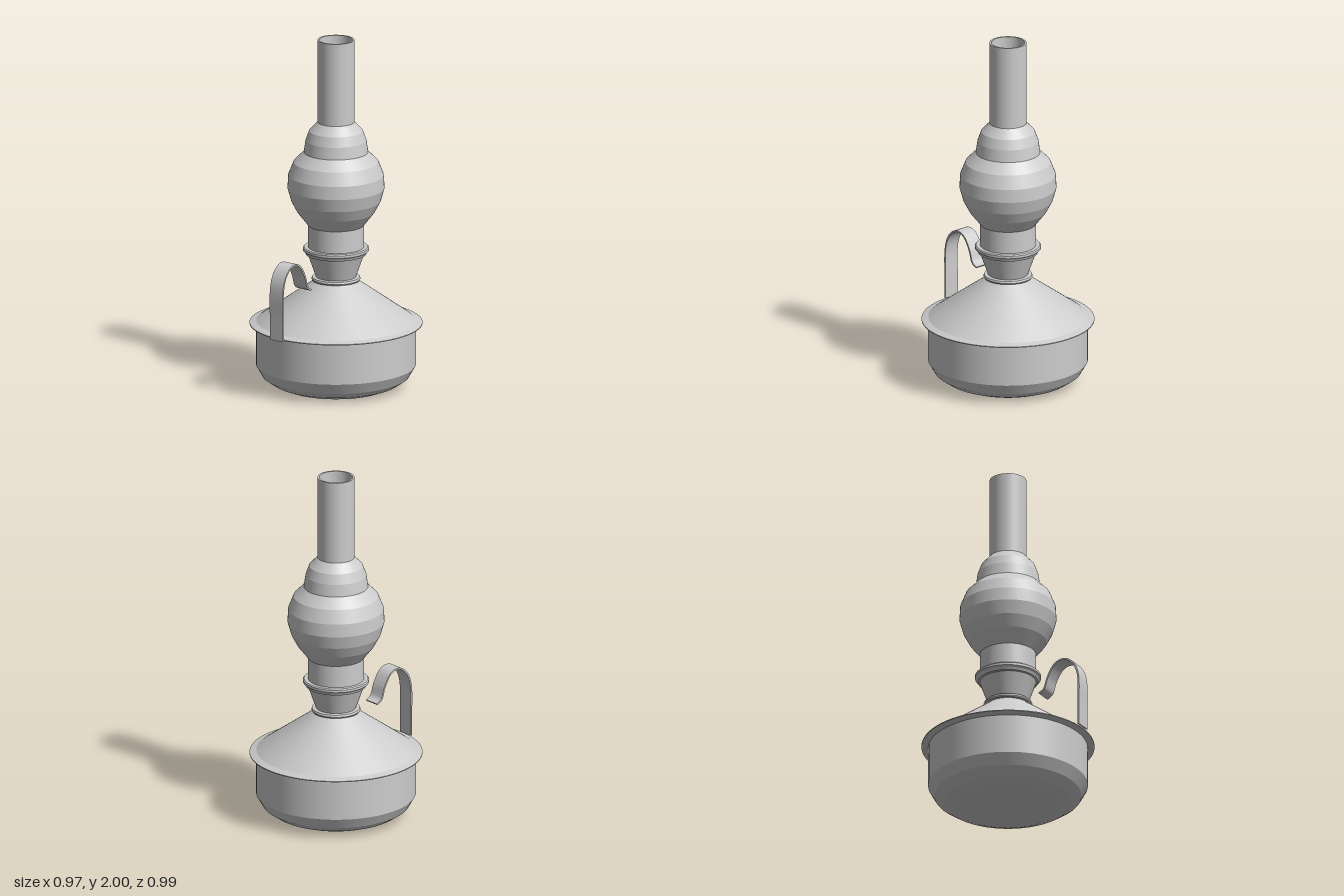
import * as THREE from 'three';
import { mergeGeometries } from 'three/addons/utils/BufferGeometryUtils.js';

const metal = new THREE.MeshStandardMaterial({ color: 0xcccccc, side: THREE.DoubleSide });
metal.name = 'pale grey metal';

// Lathe with a sharp edge at every profile point, smooth around the axis
function turned(name, profile) {
  const bands = [];
  for (let i = 0; i < profile.length - 1; i++) {
    const pair = [profile[i], profile[i + 1]].map(([r, y]) => new THREE.Vector2(r, y));
    bands.push(new THREE.LatheGeometry(pair, 72));
  }
  const mesh = new THREE.Mesh(mergeGeometries(bands), metal);
  mesh.name = name;
  return mesh;
}

// Bent flat strip: the centre line is [z, y], thickened and extruded across x
function strip(name, path, thickness, x0, x1) {
  const curve = new THREE.SplineCurve(path.map(([z, y]) => new THREE.Vector2(z, y)));
  const n = 56, outer = [], inner = [];
  for (let i = 0; i <= n; i++) {
    const p = curve.getPoint(i / n), t = curve.getTangent(i / n);
    const side = new THREE.Vector2(-t.y, t.x).multiplyScalar(thickness / 2);
    outer.push(p.clone().add(side));
    inner.unshift(p.clone().sub(side));
  }
  const geometry = new THREE.ExtrudeGeometry(new THREE.Shape([...outer, ...inner]),
    { depth: x1 - x0, bevelEnabled: false });
  geometry.rotateY(-Math.PI / 2).translate(x1, 0, 0);
  const mesh = new THREE.Mesh(geometry, metal);
  mesh.name = name;
  return mesh;
}

export function createModel() {
  const model = new THREE.Group();
  model.name = 'oilLamp';

  const body = new THREE.Group();
  body.name = 'lampBody';
  body.position.z = -0.012;
  body.add(
    // Fuel tank with rounded base
    turned('tank', [[0, 0], [0.295, 0], [0.355, 0.024], [0.41, 0.062], [0.446, 0.125], [0.446, 0.355]]),
    // Conical lid with projecting rim
    turned('tankLid', [[0.446, 0.352], [0.483, 0.362], [0.483, 0.367], [0.445, 0.378],
      [0.13, 0.603], [0.12, 0.612]]),
    // Neck ring and burner cup
    turned('neckRing', [[0.12, 0.608], [0.133, 0.612], [0.137, 0.62], [0.133, 0.631], [0.105, 0.634]]),
    turned('burnerCup', [[0.112, 0.632], [0.158, 0.762]]),
    turned('burnerFlange', [[0.15, 0.757], [0.168, 0.762], [0.174, 0.775], [0.184, 0.784],
      [0.184, 0.798], [0.178, 0.804], [0.155, 0.804]]),
    turned('burnerCollar', [[0.156, 0.8], [0.156, 0.93]]),
    turned('burnerTop', [[0.156, 0.803], [0, 0.803]]),
    // Stepped globe
    turned('globe', [[0.156, 0.93], [0.215, 1.005], [0.25, 1.07], [0.271, 1.145], [0.267, 1.22],
      [0.237, 1.295], [0.18, 1.352]]),
    turned('upperGlobe', [[0.18, 1.352], [0.17, 1.42], [0.15, 1.475], [0.103, 1.525]]),
    // Hollow chimney
    turned('chimney', [[0.103, 1.525], [0.103, 2], [0.092, 2], [0.092, 1.525], [0.103, 1.525]])
  );
  model.add(body);

  // Hooked carrying handle at the front
  model.add(strip('handle', [[0.486, 0.36], [0.486, 0.49], [0.487, 0.62], [0.473, 0.7], [0.437, 0.757],
    [0.387, 0.781], [0.333, 0.764], [0.29, 0.7], [0.265, 0.63], [0.23, 0.607]], 0.01, -0.074, 0.018));

  return model;
}
